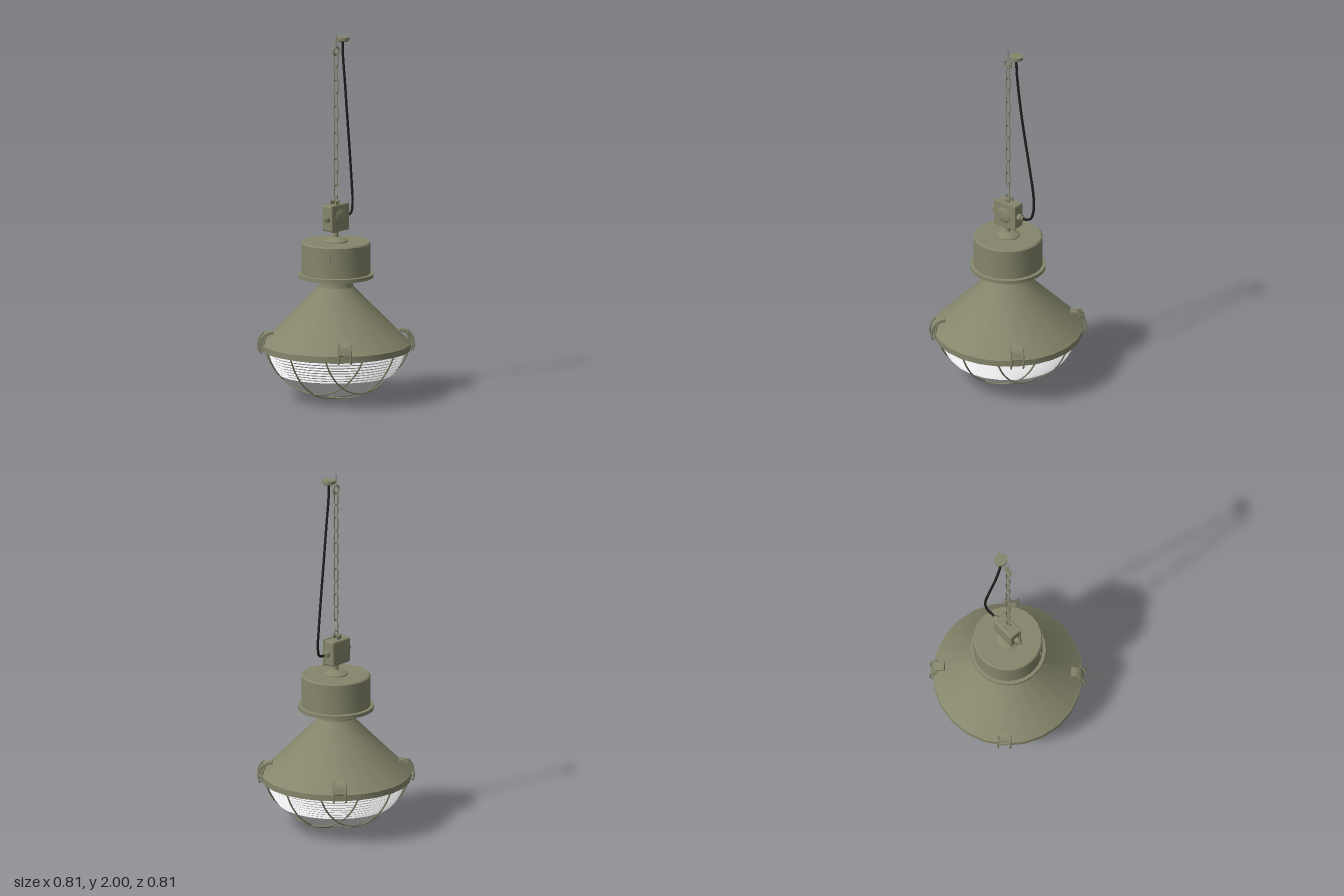
import * as THREE from 'three';
import { toCreasedNormals } from 'three/addons/utils/BufferGeometryUtils.js';
import { RoundedBoxGeometry } from 'three/addons/geometries/RoundedBoxGeometry.js';

const material = (name, color, side = THREE.FrontSide) => {
  const m = new THREE.MeshStandardMaterial({ color, side });
  m.name = name;
  return m;
};
const V = (x, y, z = 0) => new THREE.Vector3(x, y, z);

export function createModel() {
  const olive = material('olive paint', 0x86866c, THREE.DoubleSide);
  const black = material('black rubber', 0x20201e);
  const glassGrey = material('pale glass', 0xe4e4e6, THREE.DoubleSide);

  const model = new THREE.Group();
  const add = (name, geo, mat, x = 0, y = 0, z = 0, parent = model) => {
    const mesh = new THREE.Mesh(geo, mat);
    mesh.name = name;
    mesh.position.set(x, y, z);
    parent.add(mesh);
    return mesh;
  };
  const lathe = (pts, segments = 24) => toCreasedNormals(
    new THREE.LatheGeometry(pts.map(p => new THREE.Vector2(...p)), segments), 0.5);
  const cylinder = (r1, r2, h, n = 16) => new THREE.CylinderGeometry(r1, r2, h, n);
  const tube = (pts, r, n = 24, closed = false) => new THREE.TubeGeometry(
    new THREE.CatmullRomCurve3(pts, closed), n, r, 6, closed);

  // Conical shade with its rim and neck
  add('shade', lathe([[0.36, 0.295], [0.37, 0.272], [0.405, 0.272], [0.405, 0.305],
    [0.396, 0.312], [0.095, 0.617], [0.093, 0.622], [0.093, 0.675]]), olive);

  // Gear housing, with stepped rings under the flange
  add('housing', lathe([[0.09, 0.69], [0.11, 0.69], [0.11, 0.675], [0.125, 0.675],
    [0.125, 0.69], [0.15, 0.69], [0.15, 0.675], [0.165, 0.675], [0.165, 0.69],
    [0.19, 0.69], [0.19, 0.67], [0.205, 0.67], [0.205, 0.69], [0.187, 0.692],
    [0.187, 0.857], [0.18, 0.864], [0, 0.864]]), olive);
  add('topCollar', lathe([[0.065, 0.862], [0.064, 0.87], [0.035, 0.888], [0.014, 0.89],
    [0.014, 0.925]]), olive);
  const latch = add('housingLatch', new THREE.BoxGeometry(0.006, 0.045, 0.008), olive, -0.164, 0.795, 0.087);
  latch.rotation.y = -1.08;

  // Ribbed glass bowl
  const bowl = [];
  for (let i = 0; i <= 6; i++) {
    const a = i / 6 * 0.98;
    bowl.push([0.368 * Math.sin(a), 0.275 - 0.253 * Math.cos(a)]);
  }
  const ribs = 9;
  for (let i = 1; i <= ribs * 2; i++) {
    const y = 0.134 + 0.141 * i / (ribs * 2);
    const r = 0.368 * Math.sqrt(1 - ((0.275 - y) / 0.253) ** 2);
    bowl.push([r + (i % 2 ? 0.003 : -0.01), y]);
  }
  add('glassBowl', lathe(bowl), glassGrey);

  // Wire guard: two crossed sets of three arcs lying on a sphere
  const guard = new THREE.Group();
  guard.name = 'wireGuard';
  model.add(guard);
  const R = 0.4255, cy = 0.43;
  for (const turn of [0, Math.PI / 2]) {
    for (const off of [-0.2, 0, 0.2]) {
      const r = Math.sqrt(R * R - off * off);
      const end = Math.acos((cy - 0.28) / r);
      const pts = [];
      for (let i = 0; i <= 12; i++) {
        const a = end * (i / 6 - 1);
        pts.push(V(r * Math.sin(a), cy - r * Math.cos(a), off));
      }
      add('guardWire', tube(pts, 0.0045, 28), olive, 0, 0, 0, guard).rotation.y = turn;
    }
  }

  // Four toggle clips around the rim: curved lever between two wire side loops
  const leverShape = new THREE.Shape();
  leverShape.moveTo(0.345, 0.378);
  leverShape.quadraticCurveTo(0.385, 0.378, 0.404, 0.345);
  leverShape.lineTo(0.412, 0.312);
  leverShape.lineTo(0.404, 0.31);
  leverShape.lineTo(0.392, 0.338);
  leverShape.quadraticCurveTo(0.375, 0.364, 0.34, 0.364);
  const leverGeo = new THREE.ExtrudeGeometry(leverShape,
    { depth: 0.05, bevelEnabled: false, curveSegments: 6 });
  leverGeo.rotateY(-Math.PI / 2).translate(0.025, 0, 0);
  const lever = toCreasedNormals(leverGeo, 0.6);
  const loop = tube([V(0, 0.366, 0.388), V(0, 0.335, 0.414), V(0, 0.278, 0.419),
    V(0, 0.263, 0.412), V(0, 0.278, 0.404), V(0, 0.33, 0.394)], 0.005, 30, true);
  const pin = cylinder(0.007, 0.007, 0.07, 8).rotateZ(Math.PI / 2);
  for (let k = 0; k < 4; k++) {
    const clip = new THREE.Group();
    clip.name = 'rimClip';
    clip.rotation.y = Math.PI / 4 + k * Math.PI / 2;
    add('clipLever', lever, olive, 0, 0, 0, clip);
    add('clipPin', pin, olive, 0, 0.315, 0.408, clip);
    for (const s of [-1, 1]) add('clipSideLoop', loop, olive, s * 0.033, 0, 0, clip);
    model.add(clip);
  }

  // Junction box with front dome, cable glands and top bracket
  add('junctionBox', new RoundedBoxGeometry(0.14, 0.14, 0.07, 2, 0.01), olive, 0, 0.997, -0.008);
  add('boxCover', new RoundedBoxGeometry(0.148, 0.148, 0.012, 2, 0.005), olive, 0, 0.997, 0.026);
  add('coverDome', lathe([[0.048, 0], [0.04, 0.005], [0.02, 0.009], [0, 0.01]])
    .rotateX(Math.PI / 2), olive, 0, 0.997, 0.031);
  for (const s of [-1, 1]) {
    add('glandCollar', cylinder(0.019, 0.019, 0.024).rotateZ(Math.PI / 2), olive, s * 0.08, 0.995, -0.003);
    add('glandNut', cylinder(0.013, 0.013, 0.014, 6).rotateZ(Math.PI / 2), olive, s * 0.097, 0.995, -0.003);
    add('bracketTab', new THREE.BoxGeometry(0.032, 0.024, 0.006), olive, 0, 1.076, s * 0.016 - 0.008);
  }
  add('boxEye', new THREE.TorusGeometry(0.014, 0.0035, 6, 16), olive, 0, 1.096, 0);
  add('eyeBolt', cylinder(0.005, 0.005, 0.05, 8).rotateX(Math.PI / 2), olive, 0, 1.083, -0.005);

  // Chain of alternating links
  const chain = new THREE.Group();
  chain.name = 'chain';
  model.add(chain);
  const linkPts = [];
  for (let i = 0; i < 12; i++) {
    const a = (i + 0.5) / 12 * Math.PI * 2;
    linkPts.push(V(0.012 * Math.cos(a), 0.011 * Math.sin(a) + (i < 6 ? 0.029 : -0.029)));
  }
  const link = tube(linkPts, 0.0034, 28, true);
  for (let i = 0; i < 10; i++) {
    add('chainLink', link, olive, 0, 1.862 - i * 0.0725, 0, chain).rotation.y = i % 2 ? 0 : Math.PI / 2;
  }
  // Open hook joining chain and box
  add('lowerHook', tube([V(0, 1.165, 0.012), V(0, 1.178, 0.006), V(0, 1.176, -0.008),
    V(0, 1.155, -0.012), V(0, 1.125, -0.012), V(0, 1.106, -0.005), V(0, 1.106, 0.006),
    V(0, 1.118, 0.01)], 0.0034), olive, 0, 0, 0, chain);

  // Ceiling eye hook
  add('ceilingEye', new THREE.TorusGeometry(0.022, 0.0055, 8, 20), olive, 0, 1.912, 0);
  add('ceilingScrew', cylinder(0.0035, 0.0035, 0.065, 8), olive, 0, 1.9675, 0);

  // Ceiling rose and hanging cable
  add('ceilingRose', lathe([[0, 1.957], [0.028, 1.957], [0.036, 1.963], [0.036, 1.98], [0, 1.98]]),
    olive, 0.059, 0, 0);
  add('cable', tube([V(0.057, 1.96), V(0.06, 1.88), V(0.076, 1.74), V(0.1, 1.56, -0.004),
    V(0.135, 1.33, -0.012), V(0.16, 1.15, -0.018), V(0.164, 1.07, -0.016),
    V(0.15, 1.01, -0.01), V(0.125, 0.995, -0.005), V(0.1, 0.995, -0.003)], 0.007, 60), black);

  return model;
}
